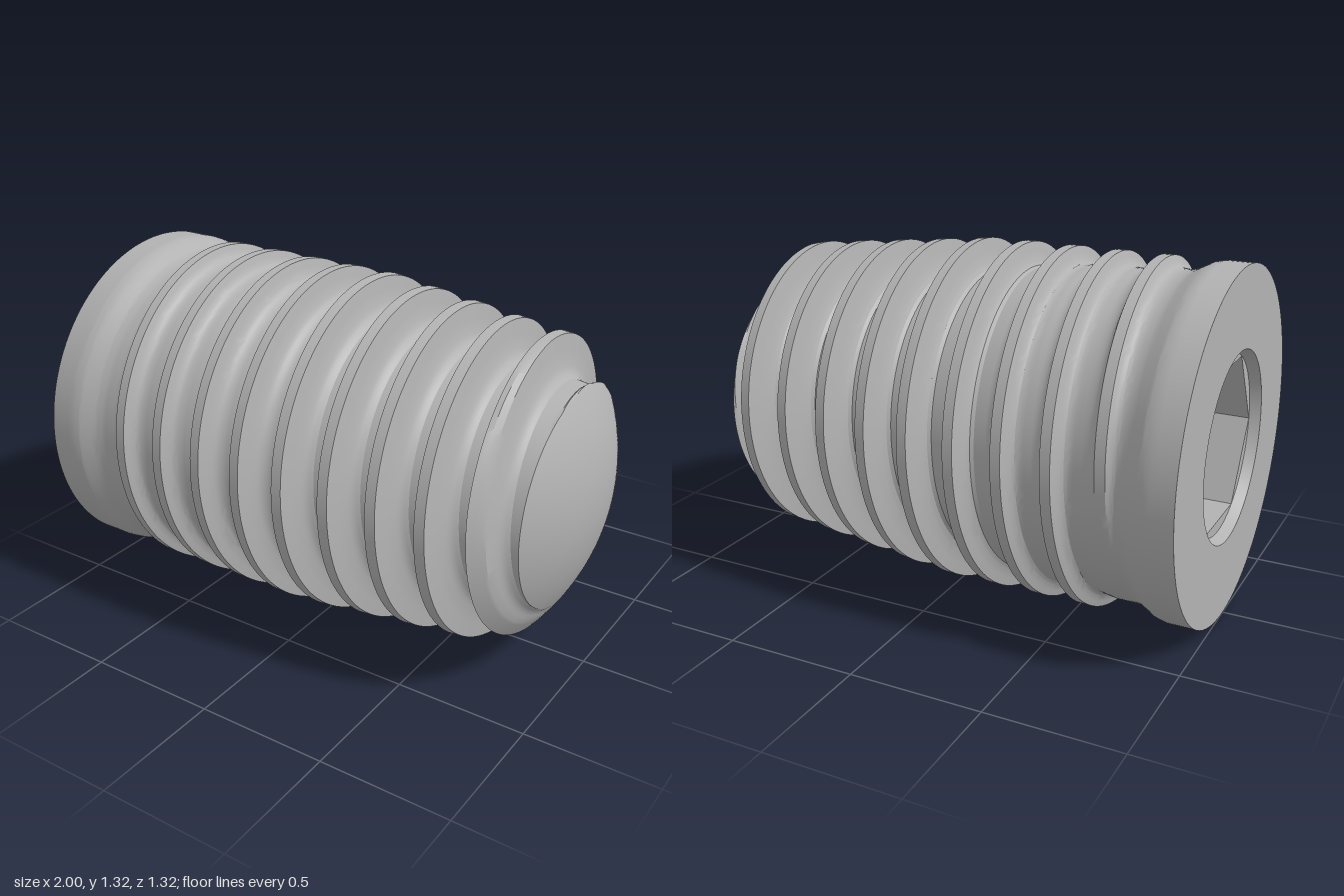
import * as THREE from 'three';
import { toCreasedNormals } from 'three/addons/utils/BufferGeometryUtils.js';

const TAU = Math.PI * 2;
const AXIS_Y = 0.658, PITCH = 0.181, FIRST_CREST = -0.692;
const TIP_R = 0.84, TIP_X = 1 - TIP_R, BODY_END = 0.895;

// core radius along the axis, and thread height (0..1) across one pitch
const CORE = [[-1, 0.658], [-0.9, 0.658], [-0.87, 0.652], [-0.81, 0.62], [-0.78, 0.613],
  [-0.7, 0.613], [-0.62, 0.6], [-0.42, 0.596], [0.9, 0.405]];
const THREAD = [[-0.0905, 0], [-0.058, 0], [-0.045, 0.08], [-0.035, 0.27], [-0.019, 1],
  [0.019, 1], [0.034, 0.27], [0.045, 0.1], [0.065, 0], [0.0905, 0]];

function sample(table, x) {
  for (let i = 1; i < table.length; i++) {
    const [x0, y0] = table[i - 1], [x1, y1] = table[i];
    if (x <= x1) return y0 + (y1 - y0) * Math.max(0, (x - x0) / (x1 - x0));
  }
  return table[table.length - 1][1];
}

// tapered body with its helical thread, rows of vertices following the helix
function threadedBody() {
  const COLS = 160, offsets = [];
  for (let i = 1; i < THREAD.length; i++) {
    const a = THREAD[i - 1][0], b = THREAD[i][0];
    offsets.push(a, (a + b) / 2);
  }
  const rows = [];
  for (let n = -3; n <= 9; n++) for (const d of offsets) rows.push([n, d]);

  const pos = [], index = [];
  for (const [n, d] of rows) {
    for (let j = 0; j <= COLS; j++) {
      const turn = n + j / COLS, a = (j / COLS) * TAU;
      const x = THREE.MathUtils.clamp(FIRST_CREST + PITCH * turn + d, -1, BODY_END);
      const core = sample(CORE, x);
      const crest = Math.min(0.658, 0.658 - 0.11 * x);
      const fade = THREE.MathUtils.smoothstep(turn, -0.4, 0);
      let r = core + Math.max(0, crest - core) * sample(THREAD, d) * fade;
      // trim the last turn to the rounded tip
      if (x > TIP_X) r = Math.min(r, Math.sqrt(TIP_R ** 2 - (x - TIP_X) ** 2));
      pos.push(x, r * Math.cos(a), r * Math.sin(a));
    }
  }
  const W = COLS + 1;
  for (let i = 0; i < rows.length - 1; i++) {
    for (let j = 0; j < COLS; j++) {
      const a = i * W + j, b = a + 1, c = a + W, d = c + 1;
      if (pos[a * 3] === pos[c * 3] && pos[b * 3] === pos[d * 3]) continue;
      index.push(a, b, c, b, d, c);
    }
  }
  const g = new THREE.BufferGeometry();
  g.setAttribute('position', new THREE.Float32BufferAttribute(pos, 3));
  g.setIndex(index);
  return toCreasedNormals(g, 0.5);
}

// closed outline with n corners, alternating between two radii
function outline(n, r1, r2 = r1) {
  return Array.from({ length: n }, (_, i) => {
    const a = (i / n) * TAU, r = i % 2 ? r2 : r1;
    return new THREE.Vector2(r * Math.cos(a), r * Math.sin(a));
  });
}

// flat plate at depth z with an optional opening
function plate(outer, hole, z) {
  const shape = new THREE.Shape(outer);
  if (hole) shape.holes.push(new THREE.Path(hole));
  return new THREE.ShapeGeometry(shape).translate(0, 0, z);
}

// inward-facing wall between two matching outlines
function wall(top, z0, bottom, z1) {
  const pos = [];
  top.forEach((p, i) => {
    const k = (i + 1) % top.length, q = top[k], s = bottom[k], t = bottom[i];
    pos.push(p.x, p.y, z0, q.x, q.y, z0, s.x, s.y, z1);
    pos.push(p.x, p.y, z0, s.x, s.y, z1, t.x, t.y, z1);
  });
  const g = new THREE.BufferGeometry();
  g.setAttribute('position', new THREE.Float32BufferAttribute(pos, 3));
  return toCreasedNormals(g, 0.4);
}

export function createModel() {
  const metal = new THREE.MeshStandardMaterial({ color: 0xb2b2b2 });
  metal.name = 'greyMetal';
  const model = new THREE.Group();
  model.name = 'threadedImplant';
  const add = (parent, name, geometry) => {
    const mesh = new THREE.Mesh(geometry, metal);
    mesh.name = name;
    parent.add(mesh);
    return mesh;
  };

  add(model, 'threadedBody', threadedBody()).position.y = AXIS_Y;

  // domed tip
  const tip = add(model, 'roundedTip', new THREE.SphereGeometry(
    TIP_R, 160, 20, 0, TAU, 0, Math.acos((BODY_END - TIP_X) / TIP_R)));
  tip.rotation.z = -Math.PI / 2;
  tip.position.set(TIP_X, AXIS_Y, 0);

  // flat end with a chamfered hexagonal socket and a star recess below it
  const socket = new THREE.Group();
  socket.name = 'socketEnd';
  socket.rotation.y = -Math.PI / 2;
  socket.position.y = AXIS_Y;
  model.add(socket);
  const rim = outline(160, 0.658), mouth = outline(96, 0.355), throat = outline(96, 0.336);
  const hex = outline(6, 0.335), star = outline(24, 0.265, 0.215);
  add(socket, 'endFace', plate(rim, mouth, 1));
  add(socket, 'socketChamfer', wall(mouth, 1, throat, 0.96));
  add(socket, 'socketShoulder', plate(throat, hex, 0.96));
  add(socket, 'hexagonWalls', wall(hex, 0.96, hex, 0.74));
  add(socket, 'hexagonFloor', plate(hex, star, 0.74));
  add(socket, 'starWalls', wall(star, 0.74, star, 0.5));
  add(socket, 'starFloor', plate(star, null, 0.5));
  return model;
}
